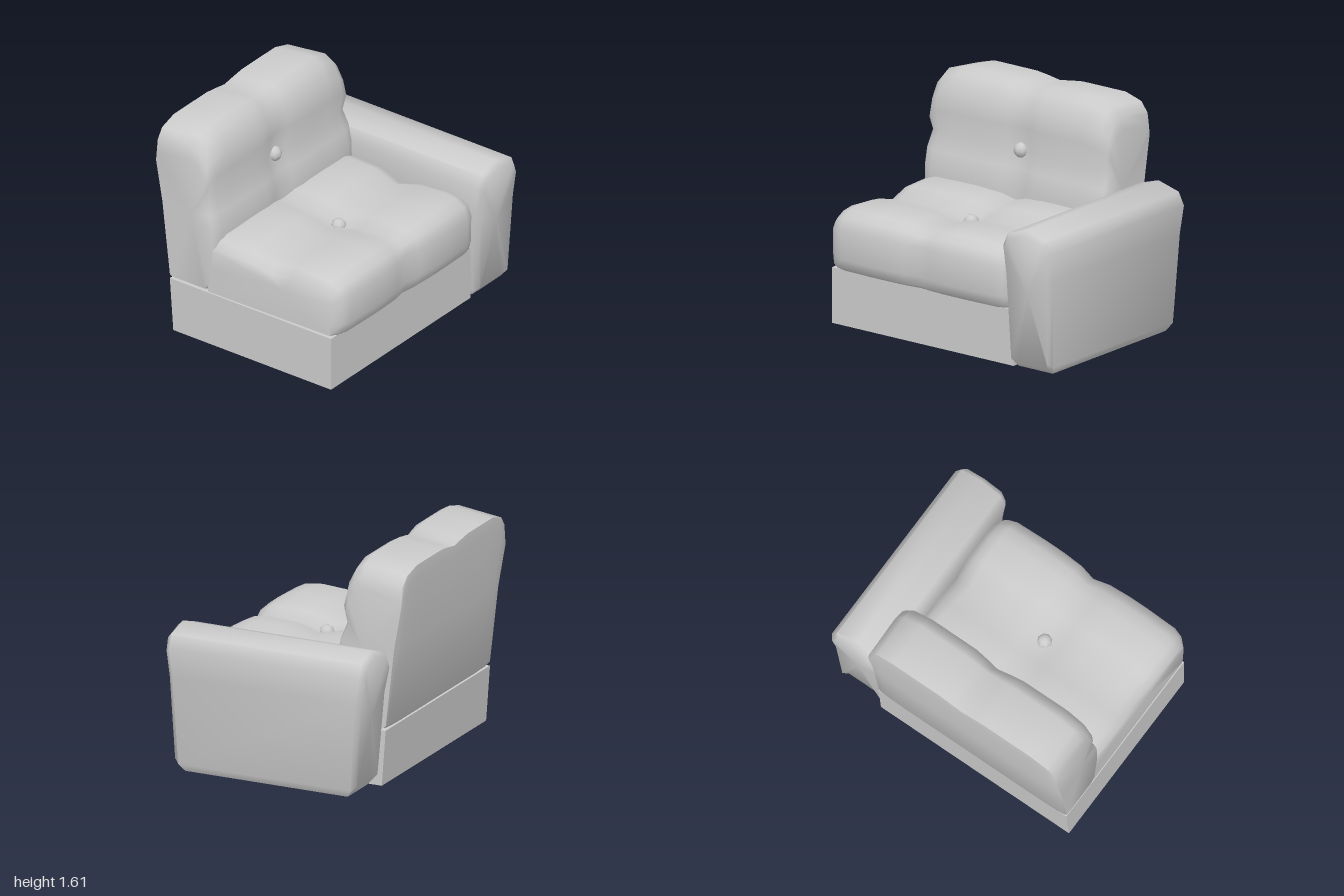
import * as THREE from 'three';
import { toCreasedNormals } from 'three/addons/utils/BufferGeometryUtils.js';

const material = new THREE.MeshStandardMaterial({ color: 0xcccccc });

// Skin a list of closed rings (each an array of [x, y, z]) and cap both ends.
function loft(name, rings) {
  const n = rings[0].length;
  const last = rings.length - 1;
  const points = rings.flat();
  const index = [];
  for (let i = 0; i < last; i++) {
    for (let j = 0; j < n; j++) {
      const k = (j + 1) % n;
      const a = i * n + j, b = i * n + k, c = a + n, d = b + n;
      index.push(a, b, c, b, d, c);
    }
  }
  const cap = (ring, flip) => {
    const centre = points.length;
    points.push([0, 1, 2].map((q) => rings[ring].reduce((s, p) => s + p[q], 0) / n));
    for (let j = 0; j < n; j++) {
      const a = ring * n + j, b = ring * n + (j + 1) % n;
      index.push(centre, flip ? b : a, flip ? a : b);
    }
  };
  cap(0, true);
  cap(last, false);
  const geometry = new THREE.BufferGeometry();
  geometry.setAttribute('position', new THREE.Float32BufferAttribute(points.flat(), 3));
  geometry.setIndex(index);
  const mesh = new THREE.Mesh(toCreasedNormals(geometry, 1.0), material);
  mesh.name = name;
  return mesh;
}

const SEAM_X = -0.2;

// Tufted cushion lofted along x, symmetric about the seam.
// profile: [z, y, end inset z, end inset y, seam dip z, seam dip y, side pinch]
// half: [distance from seam, end inset amount, seam dip amount]
function cushion(name, profile, half) {
  const stations = [
    ...half.slice(1).reverse().map(([u, e, g]) => [-u, e, g]),
    ...half,
  ];
  return loft(name, stations.map(([u, e, g]) =>
    profile.map(([z, y, ez, ey, gz, gy, pinch = 0]) =>
      [SEAM_X + u * (1 - pinch), y + e * ey + g * gy, z + e * ez + g * gz])));
}

function button(name, y, z) {
  const mesh = new THREE.Mesh(new THREE.SphereGeometry(0.056, 8, 6), material);
  mesh.name = name;
  mesh.position.set(SEAM_X, y, z);
  return mesh;
}

export function createModel() {
  const group = new THREE.Group();
  group.name = 'sofaSection';

  // Plinth with a leaning back face
  const plinth = [[-0.66, 0], [-0.69, 0.405], [0.71, 0.405], [0.71, 0]];
  group.add(loft('base', [-1, 0.6].map((x) => plinth.map(([z, y]) => [x, y, z]))));

  // Seat cushion
  group.add(cushion('seatCushion', [
    [-0.36, 0.41, 0, 0, 0, 0],
    [-0.38, 0.6, 0, 0, 0, 0],
    [-0.36, 0.83, 0, -0.08, 0, -0.04],
    [-0.25, 0.855, 0, -0.09, 0, -0.05],
    [-0.02, 0.85, 0, -0.09, 0, -0.05, 0.01],
    [0.17, 0.8, 0, -0.09, 0, -0.06, 0.04],
    [0.36, 0.85, 0, -0.09, 0, -0.05, 0.01],
    [0.58, 0.86, -0.03, -0.09, 0, -0.05],
    [0.68, 0.845, -0.05, -0.09, -0.02, -0.045],
    [0.755, 0.805, -0.07, -0.08, -0.035, -0.03],
    [0.79, 0.72, -0.08, -0.04, -0.04, 0],
    [0.785, 0.5, -0.08, 0, -0.04, 0],
    [0.765, 0.43, -0.07, 0, -0.03, 0],
    [0.74, 0.41, -0.06, 0.01, -0.02, 0],
  ], [
    [0, 0, 1], [0.12, 0, 0.25], [0.28, 0, 0.02], [0.42, 0, 0],
    [0.67, 0.08, 0], [0.74, 0.35, 0], [0.795, 1, 0],
  ]));
  group.add(button('seatButton', 0.755, 0.17));

  // Reclined back cushion
  group.add(cushion('backCushion', [
    [-0.685, 0.415, 0.01, 0.01, 0, 0],
    [-0.705, 0.44, 0.015, 0, 0, 0],
    [-0.77, 1.0, 0.015, 0, 0, 0],
    [-0.825, 1.48, 0.015, -0.17, 0, 0],
    [-0.822, 1.57, 0.02, -0.2, 0, -0.03],
    [-0.49, 1.61, -0.02, -0.2, 0, -0.035],
    [-0.42, 1.57, -0.03, -0.19, -0.02, -0.035],
    [-0.36, 1.45, -0.04, -0.15, -0.03, -0.01],
    [-0.335, 1.31, -0.04, -0.08, -0.04, 0],
    [-0.355, 1.14, -0.04, 0, -0.045, 0, 0.02],
    [-0.31, 1.02, -0.04, 0, -0.045, 0],
    [-0.285, 0.9, -0.04, 0, -0.045, 0],
    [-0.285, 0.76, -0.04, 0, -0.04, 0],
    [-0.32, 0.47, -0.04, 0, 0, 0],
    [-0.36, 0.415, -0.03, 0.01, 0, 0],
  ], [
    [0, 0, 1], [0.1, 0, 0.45], [0.2, 0, 0.02], [0.4, 0, 0],
    [0.58, 0, 0], [0.72, 0.2, 0], [0.78, 0.55, 0], [0.8, 1, 0],
  ]));
  group.add(button('backButton', 1.14, -0.39));

  // Arm: front outline [x, y, front z, back z], lofted from back to front
  const arm = [
    [0.635, 0.005, 0.73, -0.6], [0.935, 0.005, 0.73, -0.6],
    [0.967, 0.06, 0.77, -0.64], [0.992, 0.7, 0.8, -0.685], [1.0, 0.9, 0.822, -0.72],
    [0.955, 0.99, 0.83, -0.72], [0.785, 1.042, 0.825, -0.71], [0.62, 0.99, 0.83, -0.72],
    [0.575, 0.9, 0.822, -0.72], [0.583, 0.7, 0.8, -0.685], [0.603, 0.06, 0.77, -0.64],
  ];
  const armRing = (side, inset, depth) => arm.map(([x, y, front, back]) => [
    0.785 + (x - 0.785) * (1 - inset),
    0.52 + (y - 0.52) * (1 - inset * 0.5),
    side > 0 ? front - depth : back + depth,
  ]);
  group.add(loft('arm', [
    armRing(-1, 0.13, 0), armRing(-1, 0, 0.035),
    armRing(1, 0, 0.035), armRing(1, 0.13, 0),
  ]));

  return group;
}
